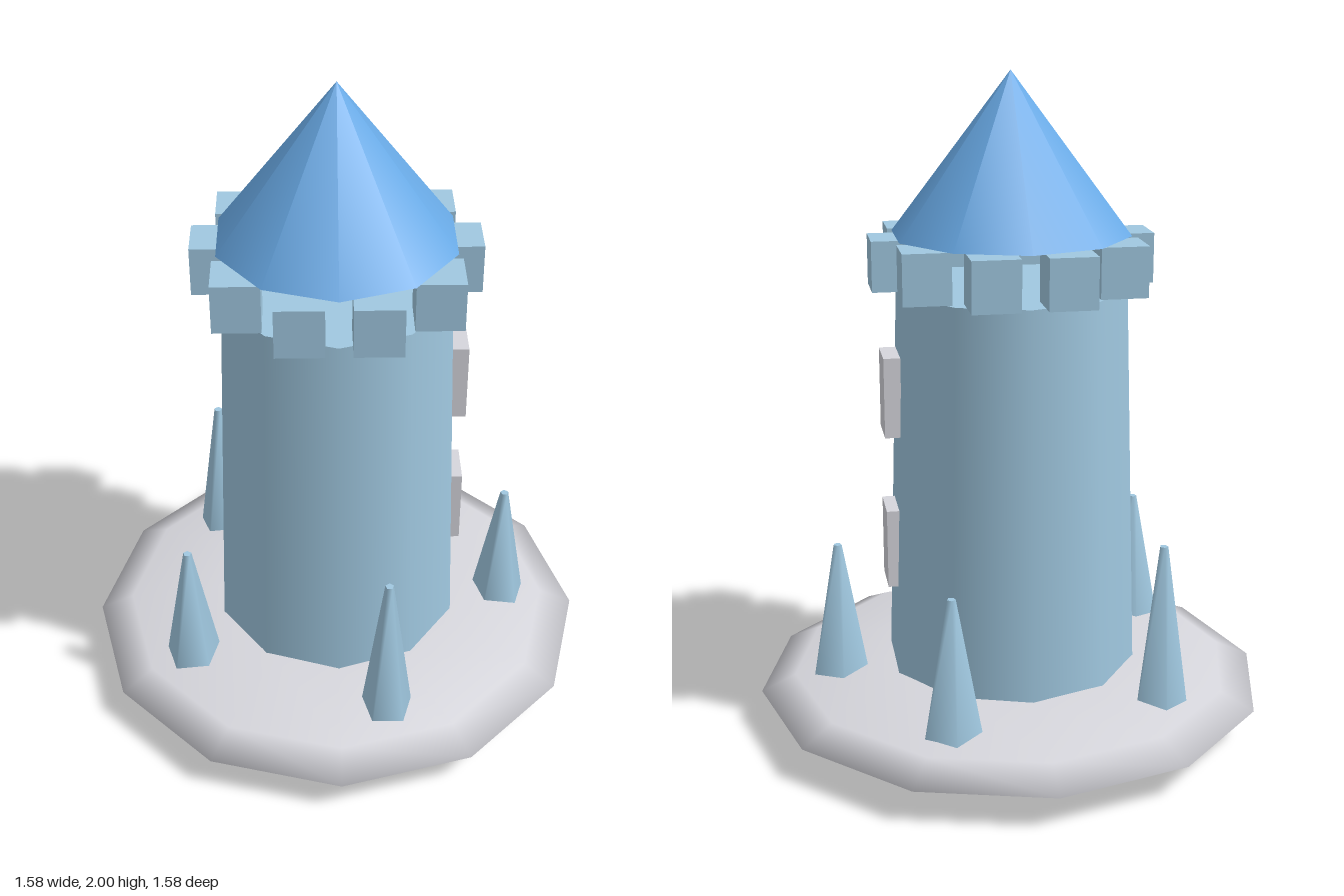
import * as THREE from 'three';

const material = (name, color) => {
  const m = new THREE.MeshStandardMaterial({ color });
  m.name = name;
  return m;
};

export function createModel() {
  const stone = material('pale blue stone', 0xa0c8e0);
  const roofBlue = material('roof blue', 0x69aae6);
  const grey = material('light grey', 0xd6d6dc);

  const model = new THREE.Group();
  model.name = 'tower';
  const add = (name, geometry, mat, x, y, z, parent = model) => {
    const mesh = new THREE.Mesh(geometry, mat);
    mesh.name = name;
    mesh.position.set(x, y, z);
    parent.add(mesh);
    return mesh;
  };
  const group = (name) => {
    const g = new THREE.Group();
    g.name = name;
    model.add(g);
    return g;
  };

  // Flattened ground mound
  add('groundMound', new THREE.SphereGeometry(0.79, 12, 6), grey, 0, 0.1, 0).scale.y = 0.1 / 0.79;

  // Tapered wall and floating cone roof
  add('towerWall', new THREE.CylinderGeometry(0.35, 0.39, 1.2, 10), stone, 0, 0.77, 0);
  add('roof', new THREE.ConeGeometry(0.36, 0.475, 10), roofBlue, 0, 1.7625, 0);

  // Ring of axis-aligned battlement blocks
  const battlements = group('battlements');
  const block = new THREE.BoxGeometry(0.14, 0.15, 0.14);
  for (let i = 0; i < 10; i++) {
    const a = (i / 10) * Math.PI * 2;
    add('battlement', block, stone, Math.cos(a) * 0.35, 1.45, Math.sin(a) * 0.35, battlements);
  }

  // Two windows on the left side
  const pane = new THREE.BoxGeometry(0.05, 0.245, 0.14);
  for (const y of [0.575, 1.053]) add('window', pane, grey, 0.367, y, 0);

  // Five-sided spikes, alternating in height; the tall ones pierce the mound
  const spikes = group('spikes');
  for (let i = 0; i < 5; i++) {
    const a = i * 1.3;
    const height = i % 2 ? 0.63 : 0.48;
    const spike = new THREE.CylinderGeometry(0.013, 0.1, height, 5);
    add('spike', spike, stone, Math.cos(a) * 0.54, 0.335, Math.sin(a) * 0.54, spikes).rotation.y = Math.PI;
  }

  return model;
}
